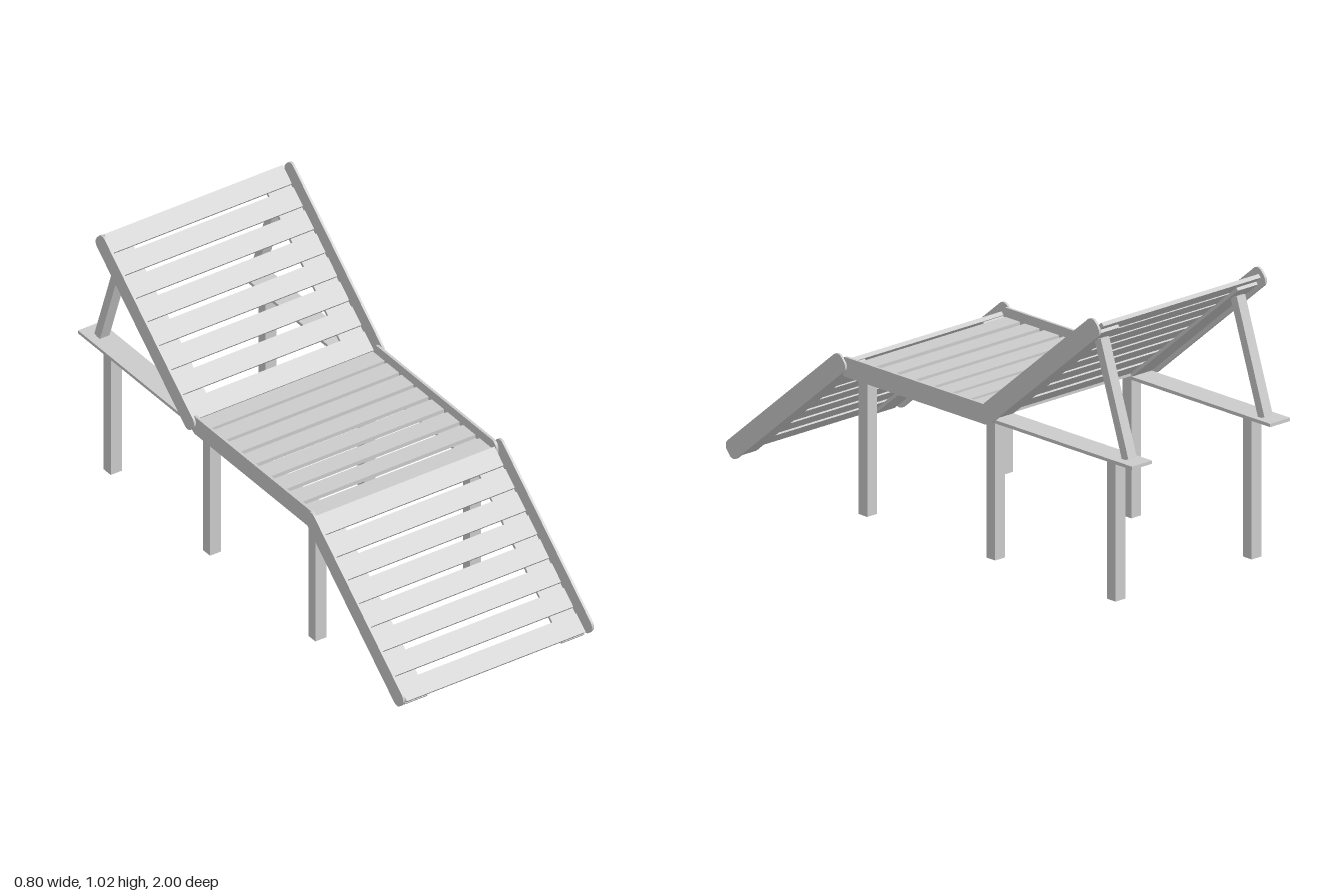
import * as THREE from 'three';

const material = new THREE.MeshStandardMaterial({ color: 0xcccccc });
const TILT = THREE.MathUtils.degToRad(40);
const HALF = 0.372; // half length of every side rail

function box(parent, name, w, h, d, x, y, z) {
  const mesh = new THREE.Mesh(new THREE.BoxGeometry(w, h, d), material);
  mesh.name = name;
  mesh.position.set(x, y, z);
  parent.add(mesh);
  return mesh;
}

// Flat rail with rounded ends, running along z
function railGeometry(thickness) {
  const a = HALF, b = 0.036, r = 0.027;
  const s = new THREE.Shape();
  s.moveTo(-a + r, -b);
  s.lineTo(a - r, -b);
  s.absarc(a - r, -b + r, r, -Math.PI / 2, 0);
  s.lineTo(a, b - r);
  s.absarc(a - r, b - r, r, 0, Math.PI / 2);
  s.lineTo(-a + r, b);
  s.absarc(-a + r, b - r, r, Math.PI / 2, Math.PI);
  s.lineTo(-a, -b + r);
  s.absarc(-a + r, -b + r, r, Math.PI, Math.PI * 1.5);
  const g = new THREE.ExtrudeGeometry(s, { depth: thickness, bevelEnabled: false, curveSegments: 8 });
  g.translate(0, 0, -thickness / 2);
  g.rotateY(Math.PI / 2);
  return g;
}

// Slatted panel: two rails and eight slats whose gaps widen along z
function panel(name, y, z, tilt, railX, railThickness, firstSlat) {
  const group = new THREE.Group();
  group.name = name;
  group.position.set(0, y, z);
  group.rotation.x = tilt;
  const rail = railGeometry(railThickness);
  for (const side of [-1, 1]) {
    const mesh = new THREE.Mesh(rail, material);
    mesh.name = name + 'Rail';
    mesh.position.x = side * railX;
    group.add(mesh);
  }
  for (let i = 0; i < 8; i++) {
    const start = firstSlat + 0.086 * i + 0.0009 * i * i;
    box(group, name + 'Slat', 0.746, 0.015, 0.073, 0, -0.0045, start + 0.0365);
  }
  return group;
}

export function createModel() {
  const model = new THREE.Group();
  model.name = 'lounger';

  const seat = panel('seat', 0.537, 0.069, 0, 0.38, 0.01, -0.372);
  const backrest = panel('backrest', 0.7685, -0.563, TILT, 0.394, 0.009, -0.372);
  const legRest = panel('legRest', 0.327, 0.702, TILT, 0.394, 0.009, -0.352);
  model.add(seat, backrest, legRest);

  for (const side of [-1, 1]) {
    // Boards under the slats; the seat board runs on behind the backrest
    box(backrest, 'backrestBoard', 0.095, 0.012, 0.69, side * 0.328, -0.018, 0.005);
    box(legRest, 'legRestBoard', 0.095, 0.012, 0.715, side * 0.328, -0.018, 0.012);
    box(model, 'seatBoard', 0.095, 0.012, 1.42, side * 0.328, 0.519, -0.29);

    // Three legs on each side
    for (const z of [0.371, -0.266, -0.866]) {
      box(model, 'leg', 0.046, 0.515, 0.043, side * 0.323, 0.2575, z);
    }

    // Prop between seat board and backrest
    const dy = 0.405, dz = 0.138;
    const prop = box(model, 'backrestProp', 0.04, Math.hypot(dy, dz), 0.033,
      side * 0.323, 0.525 + dy / 2, -0.932 + dz / 2);
    prop.rotation.x = Math.atan2(dz, dy);
  }
  return model;
}
